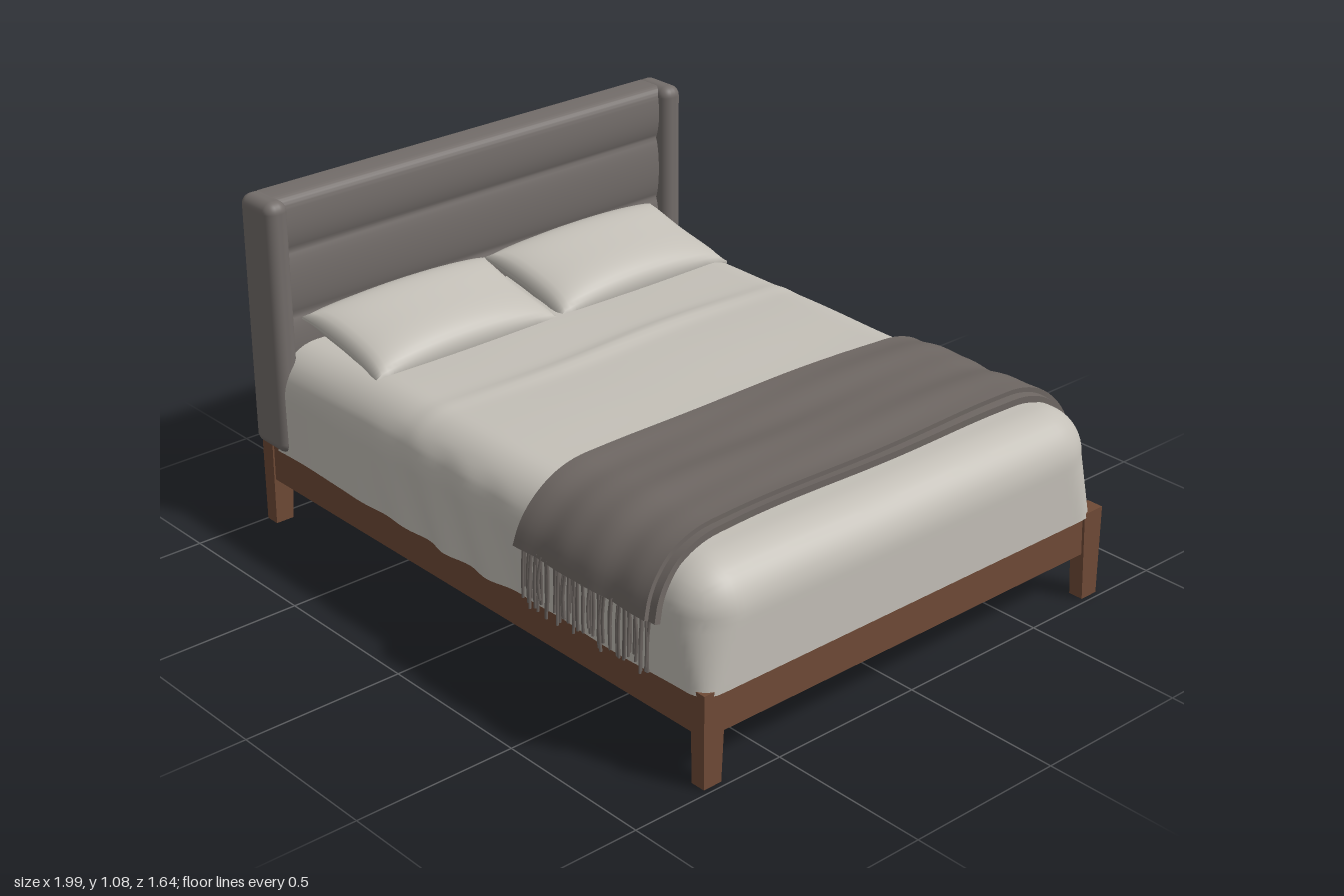
import * as THREE from 'three';
import { toCreasedNormals } from 'three/addons/utils/BufferGeometryUtils.js';
import { RoundedBoxGeometry } from 'three/addons/geometries/RoundedBoxGeometry.js';

const material = (name, color) => {
  const m = new THREE.MeshStandardMaterial({ color });
  m.name = name;
  return m;
};

// Moves every vertex by a rule, then restores smooth normals
function deform(geometry, rule, crease = 0.9) {
  const pos = geometry.attributes.position;
  const p = new THREE.Vector3();
  for (let i = 0; i < pos.count; i++) {
    p.fromBufferAttribute(pos, i);
    rule(p);
    pos.setXYZ(i, p.x, p.y, p.z);
  }
  return toCreasedNormals(geometry, crease);
}

function seeded(seed) {
  return () => (seed = (seed * 16807) % 2147483647) / 2147483647;
}

const bump = (v, centre, width) => Math.exp(-(((v - centre) / width) ** 2));

export function createModel() {
  const bed = new THREE.Group();
  bed.name = 'bed';
  const wood = material('walnut wood', 0x6f4a36);
  const fabric = material('grey upholstery', 0x736d6a);
  const linen = material('pale linen', 0xc3bfb7);
  const wool = material('dark wool', 0x6d6662);
  const board = material('base board grey', 0xb0b0af);
  const add = (name, geometry, mat, x = 0, y = 0, z = 0, parent = bed) => {
    const mesh = new THREE.Mesh(geometry, mat);
    mesh.name = name;
    mesh.position.set(x, y, z);
    parent.add(mesh);
    return mesh;
  };
  const midZ = -0.018;

  // Wooden frame: tapered legs and rails
  for (const side of [-1, 1]) {
    for (const end of [-1, 1]) {
      const leg = deform(new THREE.BoxGeometry(0.052, 0.282, 0.075), (p) => {
        if (p.y < 0 && p.z * side < 0) p.z += side * 0.014;
        if (p.y < 0 && p.x * end < 0) p.x += end * 0.005;
      }, 0.3);
      add(end > 0 ? 'footLeg' : 'headLeg', leg, wood, end > 0 ? 0.957 : -0.973, 0.141, midZ + side * 0.734);
    }
    add('sideRail', new THREE.BoxGeometry(1.91, 0.125, 0.04), wood, -0.008, 0.2125, midZ + side * 0.746);
  }
  add('footRail', new THREE.BoxGeometry(0.036, 0.132, 1.42), wood, 0.957, 0.213, midZ);
  add('headRail', new THREE.BoxGeometry(0.03, 0.07, 1.46), wood, -0.9, 0.235, midZ);
  add('baseBoard', new THREE.BoxGeometry(1.84, 0.05, 1.46), board, 0.025, 0.24, midZ);

  // Headboard panel with padded horizontal channels
  const panelShape = new THREE.Shape();
  panelShape.moveTo(-0.985, 0.28);
  panelShape.lineTo(-0.9, 0.28);
  const seams = [0.3, 0.5, 0.7, 0.905];
  panelShape.lineTo(-0.886, seams[0]);
  for (let i = 1; i < seams.length; i++) {
    const a = seams[i - 1], b = seams[i];
    panelShape.bezierCurveTo(-0.868, a + 0.04, -0.868, b - 0.04, -0.886, b);
  }
  panelShape.bezierCurveTo(-0.868, 0.945, -0.87, 1.0, -0.874, 1.035);
  panelShape.quadraticCurveTo(-0.878, 1.072, -0.91, 1.072);
  panelShape.lineTo(-0.975, 1.072);
  panelShape.quadraticCurveTo(-0.998, 1.072, -0.998, 1.045);
  panelShape.lineTo(-0.998, 0.3);
  panelShape.quadraticCurveTo(-0.998, 0.28, -0.985, 0.28);
  const panel = new THREE.ExtrudeGeometry(panelShape, { depth: 1.48, bevelEnabled: false, curveSegments: 12 });
  panel.translate(0, 0, -0.74 - 0.015);
  add('headboardPanel', toCreasedNormals(panel, 1.2), fabric);
  for (const side of [-1, 1]) {
    add('headboardWing', new RoundedBoxGeometry(0.158, 0.8, 0.077, 5, 0.033), fabric, -0.921, 0.675, -0.015 + side * 0.757);
  }

  // Made-up mattress: a box rounded at the top and foot, with soft folds
  const foot = 0.988, top = 0.605, half = 0.764, bottom = 0.27, round = 0.14;
  const q = new THREE.Vector3(), d = new THREE.Vector3();
  const bedding = new THREE.BoxGeometry(1.888, top - bottom, 2 * half, 100, 16, 64);
  bedding.translate(foot - 0.944, (top + bottom) / 2, 0);
  add('bedding', deform(bedding, (p) => {
    const drop = (top - p.y) / (top - bottom);
    // corners tighten towards the hem
    const r = round - 0.08 * THREE.MathUtils.clamp((top - round - p.y) / 0.2, 0, 1);
    q.set(Math.min(p.x, foot - r), Math.min(p.y, top - round), THREE.MathUtils.clamp(p.z, r - half, half - r));
    d.subVectors(p, q);
    const len = d.length();
    if (len > 0) d.multiplyScalar(Math.max(d.x, d.y, Math.abs(d.z)) / len);
    p.addVectors(q, d);
    const { x, y, z } = p;
    // crosswise ridge and broad ripples on top
    if (y > 0.5) {
      p.y += 0.009 * bump(x, -0.25, 0.45);
      p.y += 0.012 * bump(z, -0.05, 0.6) * bump(x, -0.24 + 0.012 * Math.sin(z * 5), 0.03);
      p.y += 0.003 * Math.sin(x * 9 + z * 4) * Math.sin(z * 5 - x * 3);
    }
    // diagonal folds on the hanging sides
    if (Math.abs(z) > 0.6) {
      p.z += Math.sign(z) * drop * (0.011 * bump(x, -0.05, 0.3) * Math.sin(x * 30 + y * 14)
        + 0.004 * Math.sin(x * 11 + z));
    }
    // hem dips slightly midway along the sides
    p.y -= drop ** 4 * 0.008 * bump(x, -0.1, 0.25) * (1 + 0.5 * Math.sin(x * 25));
  }), linen);

  // Two plump pillows leaning on the headboard
  for (const side of [-1, 1]) {
    const pillow = deform(new THREE.BoxGeometry(2, 2, 2, 28, 1, 34), (p) => {
      const u = p.x, v = p.z;
      const puff = (1 - u ** 4) ** 0.55 * (1 - v * v) ** 0.45;
      p.x = 0.19 * u * (1 - 0.02 * (1 - v * v));
      p.z = 0.34 * v * (1 - 0.06 * (1 - u * u));
      p.y = Math.sign(p.y) * (0.004 + 0.078 * puff);
    }, 1.1);
    const mesh = add('pillow', pillow, linen, -0.688, 0.644, -0.014 + side * 0.341);
    mesh.rotation.z = -0.23;
  }

  // Throw blanket draped across the foot, in two folded layers
  const halfDrape = [[0.5, 0.646], [0.62, 0.638], [0.7, 0.608], [0.757, 0.56], [0.79, 0.51], [0.808, 0.455]];
  const drape = new THREE.CatmullRomCurve3([
    ...halfDrape.map(([z, y]) => new THREE.Vector3(0, y, -z)).reverse(),
    new THREE.Vector3(0, 0.65, 0),
    ...halfDrape.map(([z, y]) => new THREE.Vector3(0, y, z)),
  ]);
  const throwLayer = (name, x0, x1, lift) => {
    const cloth = deform(new THREE.BoxGeometry(1, 1, 1, 24, 1, 80), (p) => {
      const t = p.z + 0.5, s = p.x + 0.5;
      const at = drape.getPointAt(t), tangent = drape.getTangentAt(t);
      const x = THREE.MathUtils.lerp(x0, x1, s);
      const edge = 0.005 * Math.sin(at.z * 7 + s * 2) + (s - 0.4) * 0.03 * Math.max(0, (0.6 - at.y) / 0.15);
      const wave = 0.004 * Math.sin(x * 22 + at.z * 3) + 0.002 * Math.sin(x * 47 - at.z * 2);
      const offset = lift + wave + p.y * 0.02;
      p.set(x + edge, at.y + tangent.z * offset, at.z - tangent.y * offset);
    });
    add(name, cloth, wool);
  };
  throwLayer('throwTop', 0.308, 0.802, -0.003);
  throwLayer('throwUnderlayer', 0.325, 0.828, -0.017);

  // Fringe strands hanging from both ends of the throw
  const random = seeded(77);
  const fringe = new THREE.Group();
  fringe.name = 'throwFringe';
  bed.add(fringe);
  const strands = 50;
  for (const side of [-1, 1]) {
    for (let i = 0; i < strands; i++) {
      const x = 0.315 + (0.515 * (i + 0.5 * random())) / strands;
      const length = 0.12 + 0.055 * random();
      const lean = (random() - 0.5) * 0.02;
      const z = side * (0.79 + 0.02 * random());
      const path = new THREE.CatmullRomCurve3([
        new THREE.Vector3(x, 0.465, z),
        new THREE.Vector3(x + lean, 0.46 - length * 0.5, z + side * 0.006 * random()),
        new THREE.Vector3(x + lean * 0.6, 0.46 - length, z + side * 0.004),
      ]);
      add('strand', new THREE.TubeGeometry(path, 5, 0.0045, 5), wool, 0, 0, 0, fringe);
    }
  }
  return bed;
}
